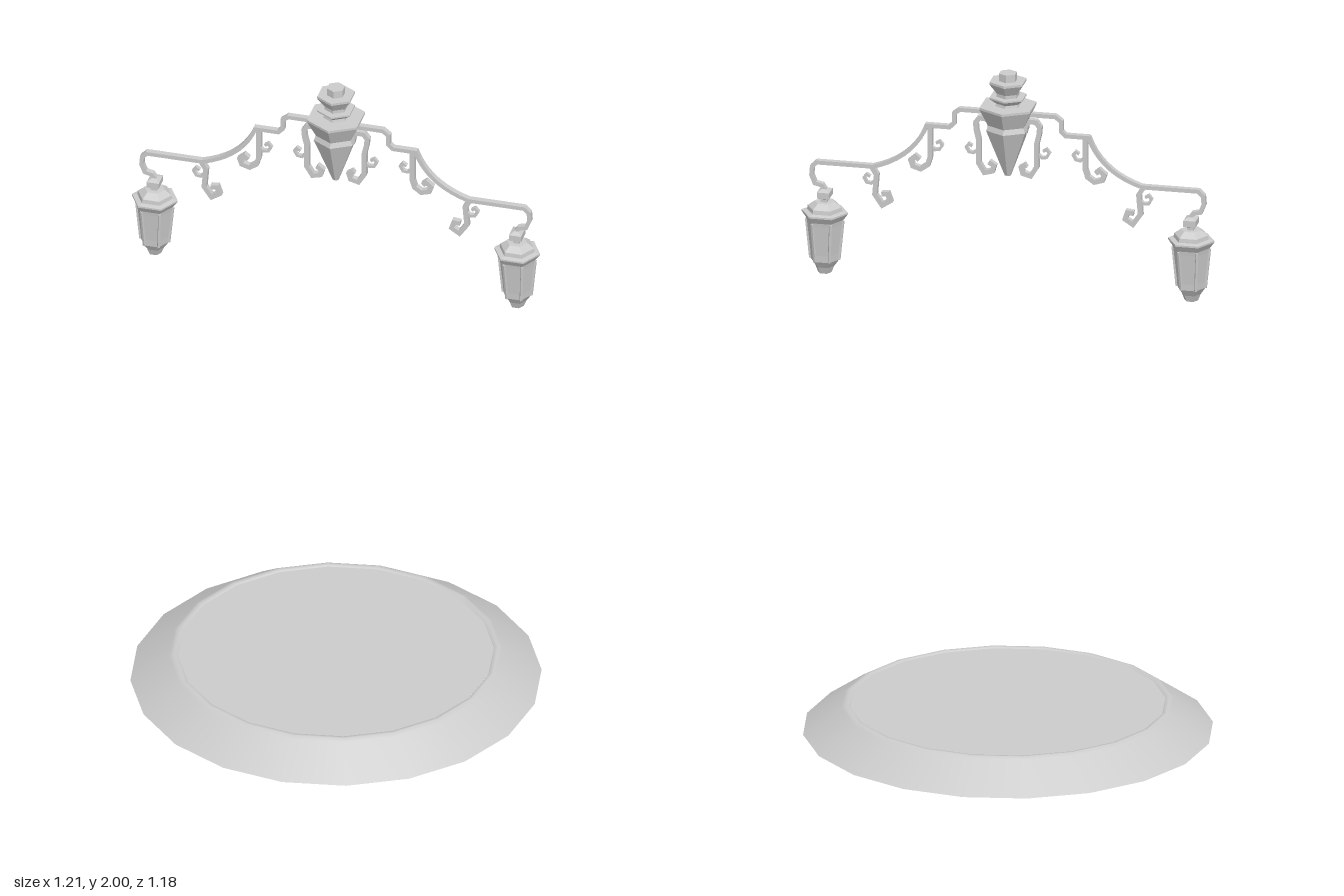
import * as THREE from 'three';

const grey = new THREE.MeshStandardMaterial({ color: 0xcccccc, flatShading: true, side: THREE.DoubleSide });
const smooth = new THREE.MeshStandardMaterial({ color: 0xcccccc, side: THREE.DoubleSide });
const V = (p) => new THREE.Vector2(p[0], p[1]);

function turned(name, profile, sides, phase = 0, material = grey) {
  const mesh = new THREE.Mesh(new THREE.LatheGeometry(profile.map(V), sides, phase), material);
  mesh.name = name;
  return mesh;
}

// Flat iron strip of even width following a path in the xy plane
function strip(name, points, width, depth = 0.017) {
  const pts = points.map(V);
  const left = [], right = [];
  pts.forEach((p, i) => {
    const a = pts[Math.max(i - 1, 0)], b = pts[Math.min(i + 1, pts.length - 1)];
    const d1 = (i > 0 ? p.clone().sub(a) : b.clone().sub(p)).normalize();
    const d2 = (i < pts.length - 1 ? b.clone().sub(p) : d1.clone()).normalize();
    const t = d1.clone().add(d2).normalize();
    const half = width / 2 / Math.max(0.6, t.dot(d1));
    left.push(new THREE.Vector2(p.x - t.y * half, p.y + t.x * half));
    right.unshift(new THREE.Vector2(p.x + t.y * half, p.y - t.x * half));
  });
  const geo = new THREE.ExtrudeGeometry(new THREE.Shape([...left, ...right]), { depth, bevelEnabled: false });
  geo.translate(0, 0, -depth / 2);
  const mesh = new THREE.Mesh(geo, grey);
  mesh.name = name;
  return mesh;
}

function createLantern() {
  const g = new THREE.Group();
  g.name = 'lantern';
  // Hexagonal glass body and flared cap
  g.add(turned('lanternBody', [
    [0, 1.35], [0.02, 1.35], [0.028, 1.37], [0.042, 1.39], [0.043, 1.41], [0.053, 1.5],
    [0.055, 1.512], [0.068, 1.53], [0.068, 1.535], [0.052, 1.538], [0.05, 1.55], [0.03, 1.565], [0, 1.567],
  ], 6, Math.PI / 6));
  // Thin ribs on the corners of the body
  for (let i = 0; i < 6; i++) {
    const a = (i * Math.PI) / 3;
    const rib = new THREE.Mesh(new THREE.BoxGeometry(0.007, 0.12, 0.007), grey);
    rib.name = 'lanternRib';
    rib.position.set(0.048 * Math.cos(a), 1.45, 0.048 * Math.sin(a));
    rib.rotation.set(0, -a, -0.1);
    g.add(rib);
  }
  // Square knob
  const knob = turned('lanternKnob', [
    [0, 1.562], [0.018, 1.562], [0.018, 1.575], [0.034, 1.58], [0.034, 1.598], [0, 1.608],
  ], 4, Math.PI / 4);
  knob.scale.x = 0.75;
  g.add(knob);
  g.position.x = 0.538;
  return g;
}

function createArm() {
  const arm = new THREE.Group();
  arm.name = 'arm';
  // Main stepped bar, sweeping down to the lantern hook
  const sweep = new THREE.QuadraticBezierCurve(V([0.238, 1.822]), V([0.275, 1.72]), V([0.395, 1.684]))
    .getPoints(9).map((p) => [p.x, p.y]);
  arm.add(strip('mainBar', [
    [0.03, 1.86], [0.055, 1.878], [0.14, 1.878], [0.157, 1.865], [0.157, 1.835], [0.17, 1.822],
    ...sweep, [0.56, 1.684], [0.574, 1.67], [0.576, 1.645],
    [0.566, 1.62], [0.545, 1.615], [0.538, 1.605], [0.538, 1.585],
  ], 0.012));

  // Hanging scrolls
  const scrolls = [
    [[0.05, 1.82], [0.054, 1.848], [0.065, 1.857], [0.083, 1.857], [0.094, 1.842], [0.092, 1.82],
      [0.085, 1.79], [0.085, 1.72], [0.068, 1.692], [0.045, 1.698], [0.04, 1.715], [0.055, 1.725]],
    [[0.228, 1.82], [0.228, 1.725], [0.235, 1.702], [0.255, 1.688], [0.278, 1.695], [0.284, 1.712],
      [0.27, 1.724], [0.259, 1.715]],
    [[0.4, 1.684], [0.385, 1.66], [0.39, 1.6], [0.368, 1.568], [0.345, 1.583], [0.352, 1.604], [0.37, 1.602]],
  ];
  for (const s of scrolls) arm.add(strip('scroll', s, 0.014));

  // Small curls beside the scrolls
  for (const [x, y, dir] of [[0.09, 1.765, 1], [0.224, 1.765, -1], [0.39, 1.648, 1]]) {
    const curl = [[0, -0.008], [0.01, -0.016], [0.024, -0.014], [0.032, 0], [0.024, 0.01], [0.014, 0.004]]
      .map(([u, v]) => [x + dir * u, y + v]);
    arm.add(strip('curl', curl, 0.008, 0.012));
  }
  arm.add(createLantern());
  return arm;
}

export function createModel() {
  const model = new THREE.Group();
  model.name = 'streetLamp';

  // Hollow base with sloping skirt and recessed top plate
  model.add(turned('baseSkirt', [[0.59, 0], [0.478, 0.077], [0.466, 0.083], [0.455, 0.082], [0.45, 0.074]], 20, 0, smooth));
  model.add(turned('basePlate', [[0.453, 0.079], [0, 0.079]], 20, 0, grey));

  // Hexagonal central finial
  model.add(turned('finial', [
    [0, 1.685], [0.01, 1.688], [0.066, 1.83], [0.06, 1.845], [0.086, 1.895], [0.086, 1.902], [0.038, 1.902],
    [0.036, 1.91], [0.056, 1.925], [0.056, 1.93], [0.034, 1.93], [0.034, 1.94], [0.056, 1.97],
    [0.056, 1.977], [0.027, 1.977], [0.027, 2], [0, 2],
  ], 6));

  // Two mirrored arms
  const left = createArm();
  left.name = 'leftArm';
  const right = createArm();
  right.name = 'rightArm';
  right.rotation.y = Math.PI;
  model.add(left, right);
  return model;
}
